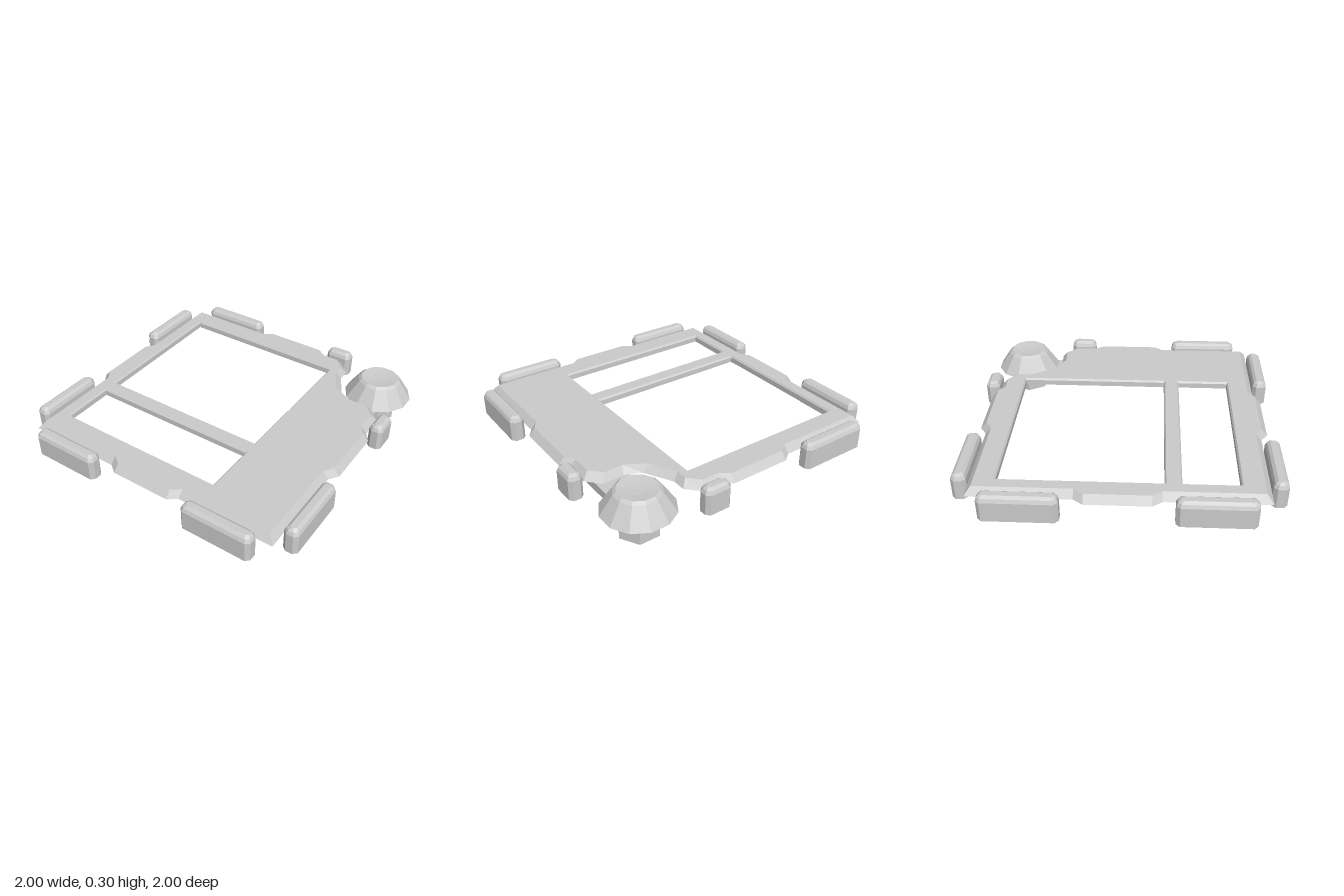
import * as THREE from 'three';

const grey = new THREE.MeshStandardMaterial({ color: 0xcccccc, flatShading: true, side: THREE.DoubleSide });

function add(group, name, geometry, x = 0, y = 0, z = 0) {
  const mesh = new THREE.Mesh(geometry, grey);
  mesh.name = name;
  mesh.position.set(x, y, z);
  group.add(mesh);
  return mesh;
}

// Skin between stacked [x, z] outlines: rings = [{ y, pts }], bottom to top
function loft(rings, capped) {
  const pos = [];
  const put = (p, y) => pos.push(p[0], y, p[1]);
  const n = rings[0].pts.length;
  for (let r = 0; r + 1 < rings.length; r++) {
    const lo = rings[r], hi = rings[r + 1];
    for (let i = 0; i < n; i++) {
      const j = (i + 1) % n;
      put(lo.pts[i], lo.y); put(hi.pts[i], hi.y); put(hi.pts[j], hi.y);
      put(lo.pts[i], lo.y); put(hi.pts[j], hi.y); put(lo.pts[j], lo.y);
    }
  }
  if (capped) {
    const lo = rings[0], hi = rings[rings.length - 1];
    for (let i = 1; i + 1 < n; i++) {
      put(hi.pts[0], hi.y); put(hi.pts[i + 1], hi.y); put(hi.pts[i], hi.y);
      put(lo.pts[0], lo.y); put(lo.pts[i], lo.y); put(lo.pts[i + 1], lo.y);
    }
  }
  const g = new THREE.BufferGeometry();
  g.setAttribute('position', new THREE.Float32BufferAttribute(pos, 3));
  g.computeVertexNormals();
  return g;
}

// Rectangle with cut corners, clockwise seen from above
function cutRect(w, d, c) {
  const x = w / 2, z = d / 2;
  return [[-x, -z + c], [-x + c, -z], [x - c, -z], [x, -z + c],
    [x, z - c], [x - c, z], [-x + c, z], [-x, z - c]];
}

// Frame outline with a tab on each side and a notch at the back left corner;
// e is the side distance, t the tab distance, notch the corner points
function outline(e, t, notch) {
  const a = 0.26, b = 0.2;
  return [[-e, -e], [-a, -e], [-b, -t], [b, -t], [a, -e], ...notch,
    [e, -a], [t, -b], [t, b], [e, a], [e, e],
    [a, e], [b, t], [-b, t], [-a, e], [-e, e],
    [-e, a], [-t, b], [-t, -b], [-e, -a]];
}

function pad(group, name, x, z, w, d) {
  const ring = (y, s) => ({ y, pts: cutRect(w - 2 * s, d - 2 * s, 0.024 - s * 0.4) });
  add(group, name, loft([ring(0.1, 0), ring(0.235, 0), ring(0.258, 0.01), ring(0.272, 0.028)], true), x, 0, z);
}

export function createModel() {
  const model = new THREE.Group();
  model.name = 'frameWithKnob';
  const top = 0.245, low = 0.197;

  // Thin top panel with two windows
  const outer = outline(0.9, 0.943, [[0.39, -0.9], [0.475, -0.815], [0.475, -0.73],
    [0.575, -0.55], [0.68, -0.505], [0.82, -0.51], [0.9, -0.425]]);
  const inner = outline(0.86, 0.903, [[0.37, -0.86], [0.44, -0.785], [0.44, -0.71],
    [0.525, -0.55], [0.665, -0.47], [0.79, -0.475], [0.86, -0.4]]);
  const windows = [[-0.79, 0.39, -0.74, 0.28], [-0.79, 0.39, 0.365, 0.73]];
  const rect = ([x0, x1, z0, z1], s) => [[x0 + s, z0 + s], [x0 + s, z1 - s], [x1 - s, z1 - s], [x1 - s, z0 + s]];
  const flat = pts => pts.map(([x, z]) => new THREE.Vector2(x, -z));
  const shape = new THREE.Shape(flat(inner));
  windows.forEach(w => shape.holes.push(new THREE.Path(flat(rect(w, 0)))));
  add(model, 'topPanel', new THREE.ShapeGeometry(shape).rotateX(-Math.PI / 2), 0, top, 0);

  // Sloping skirt round the edge and bevelled window rims
  add(model, 'edgeSkirt', loft([{ y: low, pts: outer }, { y: top, pts: inner }]));
  windows.forEach((w, i) => add(model, 'windowRim' + (i + 1),
    loft([{ y: low, pts: rect(w, 0.01) }, { y: top - 0.012, pts: rect(w, 0.01) }, { y: top, pts: rect(w, 0) }])));

  // Upright bumper pads round the four sides
  const m = 0.5725, len = 0.475, th = 0.095, o = 0.9525;
  for (const s of [-1, 1]) {
    pad(model, 'frontPad', s * m, o, len, th);
    pad(model, 'sidePad', s * o, m, th, len);
  }
  pad(model, 'backPad', -m, -o, len, th);
  pad(model, 'rightBackPad', -o, -m, th, len);
  pad(model, 'smallBackPad', 0.35, -o, 0.18, th);
  pad(model, 'smallSidePad', o, -0.353, th, 0.18);

  // Knob: hollow twelve-sided cap on a six-sided post
  const knob = new THREE.Group();
  knob.name = 'knob';
  knob.position.set(0.748, 0, -0.765);
  const profile = [[0.228, 0.157], [0.145, 0.28], [0.125, 0.296], [0.06, 0.288], [0, 0.286]];
  add(knob, 'knobCap', new THREE.LatheGeometry(profile.map(p => new THREE.Vector2(...p)), 12).rotateY(Math.PI / 12));
  add(knob, 'knobPost', new THREE.CylinderGeometry(0.132, 0.132, 0.27, 6).rotateY(Math.PI / 6), 0, 0.135, 0);
  model.add(knob);

  // Channel-shaped arm, open below, joining the post to the frame
  const arm = new THREE.Group();
  arm.name = 'arm';
  const armLen = 0.5, armZ = -0.43;
  add(arm, 'armTop', new THREE.BoxGeometry(0.22, 0.008, armLen), 0.72, 0.151, armZ);
  for (const s of [-1, 1])
    add(arm, 'armWall', new THREE.BoxGeometry(0.008, 0.055, armLen), 0.72 + s * 0.106, 0.1275, armZ);
  model.add(arm);

  return model;
}
